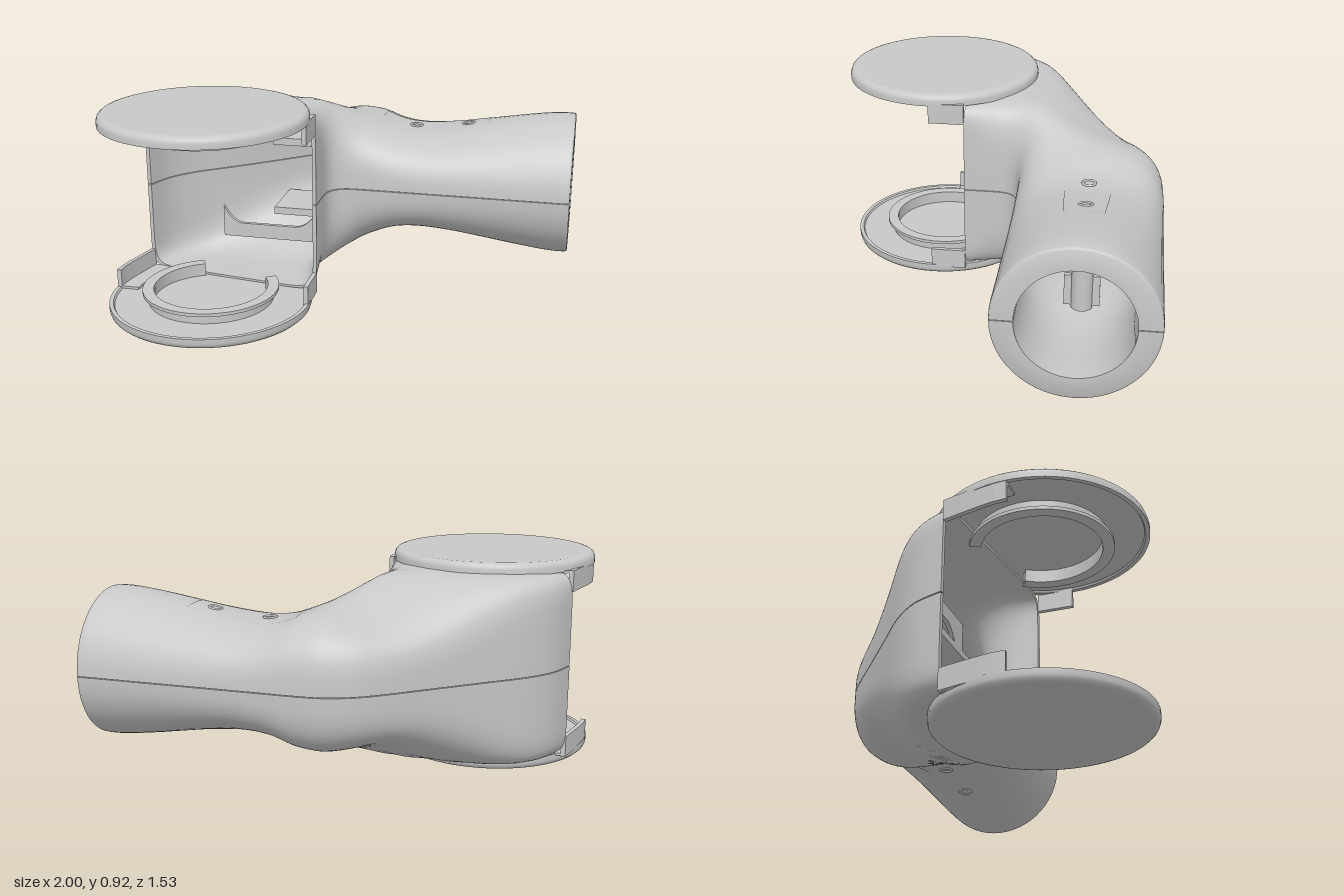
import * as THREE from 'three';
import { toCreasedNormals } from 'three/addons/utils/BufferGeometryUtils.js';
import { ParametricGeometry } from 'three/addons/geometries/ParametricGeometry.js';

const CY = 0.4575;               // seam height, mirror plane of the two halves
const DX = -0.547, DZ = 0.309;   // hinge centre
const N = 28, SUB = 4;
const { smoothstep } = THREE.MathUtils;

// Stations along the elbow: back edge x,z, front edge x,z, half height,
// roundness exponent, side wall thickness, top wall thickness
const stations = [
  [1.00, -0.758, 1.00, -0.117, 0.320, 2.0, 0.088, 0.088],
  [0.985, -0.765, 0.985, -0.11, 0.327, 2.0, 0.095, 0.095],
  [0.90, -0.765, 0.90, -0.11, 0.325, 2.0, 0.095, 0.09],
  [0.75, -0.765, 0.75, -0.11, 0.303, 2.05, 0.09, 0.06],
  [0.60, -0.765, 0.60, -0.11, 0.275, 2.15, 0.08, 0.035],
  [0.45, -0.765, 0.45, -0.11, 0.248, 2.3, 0.06, 0.03],
  [0.30, -0.765, 0.30, -0.11, 0.231, 2.5, 0.04, 0.025],
  [0.17, -0.765, 0.17, -0.11, 0.243, 2.7, 0.03, 0.025],
  [0.05, -0.765, 0.05, -0.11, 0.295, 2.8, 0.03, 0.025],
  [-0.07, -0.757, -0.01, -0.107, 0.348, 2.9, 0.03, 0.025],
  [-0.19, -0.715, -0.055, -0.09, 0.388, 3.0, 0.03, 0.025],
  [-0.30, -0.64, -0.083, -0.06, 0.403, 3.3, 0.03, 0.025],
  [-0.48, -0.488, -0.095, -0.02, 0.411, 3.9, 0.03, 0.02],
  [-0.65, -0.345, -0.097, 0.03, 0.413, 5.0, 0.03, 0.014],
  [-0.80, -0.218, -0.097, 0.08, 0.413, 7.0, 0.025, 0.01],
  [-0.895, -0.1, -0.097, 0.115, 0.413, 9.0, 0.02, 0.01],
  [-0.943, 0.03, -0.097, 0.15, 0.413, 11.0, 0.018, 0.01],
];

// Smooth interpolation between stations
function stationAt(t) {
  const last = stations.length - 1;
  const i = Math.min(Math.floor(t), last - 1), f = t - i;
  const s = (k) => stations[Math.max(0, Math.min(last, k))];
  return stations[i].map((b, c) => {
    const a = s(i - 1)[c], d = s(i + 1)[c], e = s(i + 2)[c];
    return b + 0.5 * f * (d - a + f * (2 * a - 5 * b + 4 * d - e + f * (3 * (b - d) + e - a)));
  });
}

// Point on the outer (inner = false) or inner skin; side is +1 upper, -1 lower
function skin(st, angle, side, inner, lift = 0) {
  const [ax, az, bx, bz, h, n, tw, tv] = st;
  const half = Math.hypot(bx - ax, bz - az) / 2;
  const c = Math.cos(angle), s = Math.max(0, Math.sin(angle));
  const u = Math.sign(c) * Math.abs(c) ** (2 / n) * (inner ? 1 - tw / half : 1);
  const x = (ax + bx) / 2 + u * (bx - ax) / 2, z = (az + bz) / 2 + u * (bz - az) / 2;
  // the elbow slopes down towards its back
  const slope = 1 - 0.38 * (1 - smoothstep(z, -0.58, -0.15)) * (1 - smoothstep((ax + bx) / 2, -0.22, 0.12));
  const y = 0.0015 + (h - (inner ? tv : 0)) * s ** (2 / n) * slope + lift;
  return [x, CY + side * y, z];
}

// One solid half of the hollow elbow
function halfShell(side) {
  const pos = [], idx = [], M = 2 * N + 2, S = (stations.length - 1) * SUB;
  const tri = (a, b, c) => (side > 0 ? idx.push(a, b, c) : idx.push(a, c, b));
  for (let j = 0; j <= S; j++) {
    const st = stationAt(j / SUB);
    for (let k = 0; k < M; k++) {
      const inner = k > N, i = inner ? M - 1 - k : k;
      pos.push(...skin(st, Math.PI * i / N, side, inner));
    }
  }
  for (let j = 0; j < S; j++) for (let k = 0; k < M; k++) {
    const a = j * M + k, b = j * M + (k + 1) % M;
    tri(a, b, a + M);
    tri(b, b + M, a + M);
  }
  for (let i = 0; i < N; i++) {
    const o = i, p = i + 1, q = M - 1 - i, r = M - 2 - i, e = S * M;
    tri(o, q, p); tri(p, q, r);
    tri(e + o, e + p, e + q); tri(e + p, e + r, e + q);
  }
  const g = new THREE.BufferGeometry();
  g.setAttribute('position', new THREE.Float32BufferAttribute(pos, 3));
  g.setIndex(idx);
  return toCreasedNormals(g, 0.7);
}

export function createModel() {
  const model = new THREE.Group();
  const grey = new THREE.MeshStandardMaterial({ color: 0xc8c8c8, side: THREE.DoubleSide });
  grey.name = 'grey plastic';

  function add(name, geometry, x = 0, y = 0, z = 0) {
    const m = new THREE.Mesh(geometry, grey);
    m.name = name;
    m.position.set(x, y, z);
    model.add(m);
    return m;
  }
  // Lathe about the hinge axis, mirrored for the upper half; repeated points make sharp edges
  function hingeLathe(name, pts, side, start = 0, length = Math.PI * 2) {
    const p = pts.map(([r, y]) => new THREE.Vector2(r, side > 0 ? 2 * CY - y : y));
    if (side > 0) p.reverse();
    add(name, new THREE.LatheGeometry(p, 72, start, length), DX, 0, DZ);
  }
  // Upright strip following the fork's left outline, from height y0 to y1
  function leftStrip(name, width, y0, y1, side) {
    const line = [[-0.943, 0.028], [-0.963, 0.11], [-0.984, 0.2], [-0.995, 0.26], [-0.998, 0.312]];
    const outline = [...line, ...line.map(([x, z]) => [x + width, z]).reverse()];
    const shape = new THREE.Shape(outline.map(([x, z]) => new THREE.Vector2(x, -z)));
    const g = new THREE.ExtrudeGeometry(shape, { depth: y1 - y0, bevelEnabled: false });
    g.rotateX(-Math.PI / 2);
    add(name, g, 0, side > 0 ? 2 * CY - y1 : y0, 0);
  }

  for (const side of [1, -1]) {
    const label = side > 0 ? 'upper' : 'lower';
    add(label + 'Shell', halfShell(side));

    // Round hinge cap with a raised rim
    hingeLathe(label + 'HingeCap', [[0, 0], [0.418, 0], [0.425, 0], [0.438, 0.004], [0.448, 0.013], [0.453, 0.027],
      [0.453, 0.05], [0.453, 0.05], [0.435, 0.05], [0.435, 0.05], [0.43, 0.04], [0.43, 0.04], [0, 0.04]], side);

    // Short arms joining the fork walls to the cap
    leftStrip(label + 'LeftArm', 0.02, 0.04, 0.133, side);
    leftStrip(label + 'LeftArmFoot', 0.1, 0.043, 0.054, side);
    add(label + 'RightArm', new THREE.BoxGeometry(0.02, 0.093, 0.162), -0.107, CY + side * (CY - 0.0865), 0.231);

    // Open clip ring with a flange
    const clip = [[0.255, 0.04], [0.28, 0.04], [0.28, 0.083], [0.305, 0.083], [0.305, 0.098], [0.255, 0.098], [0.255, 0.04]];
    hingeLathe(label + 'ClipRing', clip.flatMap((p) => [p, p]).slice(1, -1), side, Math.PI * 1.14, Math.PI * 1.55);

    // Bracket across the mouth of the tube
    const s = new THREE.Shape();
    s.moveTo(-0.66, side * 0.325);
    s.lineTo(-0.66, side * 0.17);
    s.quadraticCurveTo(-0.62, side * 0.245, -0.57, side * 0.255);
    s.lineTo(-0.3, side * 0.255);
    s.bezierCurveTo(-0.22, side * 0.255, -0.21, side * 0.155, -0.12, side * 0.155);
    s.lineTo(-0.11, side * 0.155);
    s.lineTo(-0.11, side * 0.325);
    add(label + 'Bracket', new THREE.ExtrudeGeometry(s, { depth: 0.02, bevelEnabled: false }), 0, CY, -0.24);
    add(label + 'InnerRib', new THREE.BoxGeometry(0.38, 0.035, 0.28), -0.21, CY + side * 0.175, -0.36);

    // Slim cover plate following the waist of the tube
    const plate = new ParametricGeometry((u, v, target) => {
      const p = skin(stationAt(4 + u * 3.6), Math.PI / 2 + (v - 0.5) * 0.46, side, false, 0.002);
      target.set(...p);
    }, 16, 8);
    add(label + 'CoverPlate', plate);

    // Screw seats, tilted with the surface, and the webs that hold the posts
    for (const [x, h, tilt] of [[0.255, 0.236, -0.05], [0.505, 0.26, 0.17]]) {
      const seat = add(label + 'ScrewSeat', new THREE.TorusGeometry(0.026, 0.006, 8, 28), x, CY + side * h, -0.44);
      seat.rotation.set(Math.PI / 2, side * tilt, 0);
      add(label + 'ScrewWeb', new THREE.BoxGeometry(0.02, 0.14, 0.15), x, CY + side * 0.135, -0.4375);
    }
  }

  // Screw posts crossing the tube
  for (const x of [0.255, 0.505])
    add('screwPost', new THREE.CylinderGeometry(0.045, 0.045, 0.43, 24), x, CY, -0.4375);

  return model;
}
